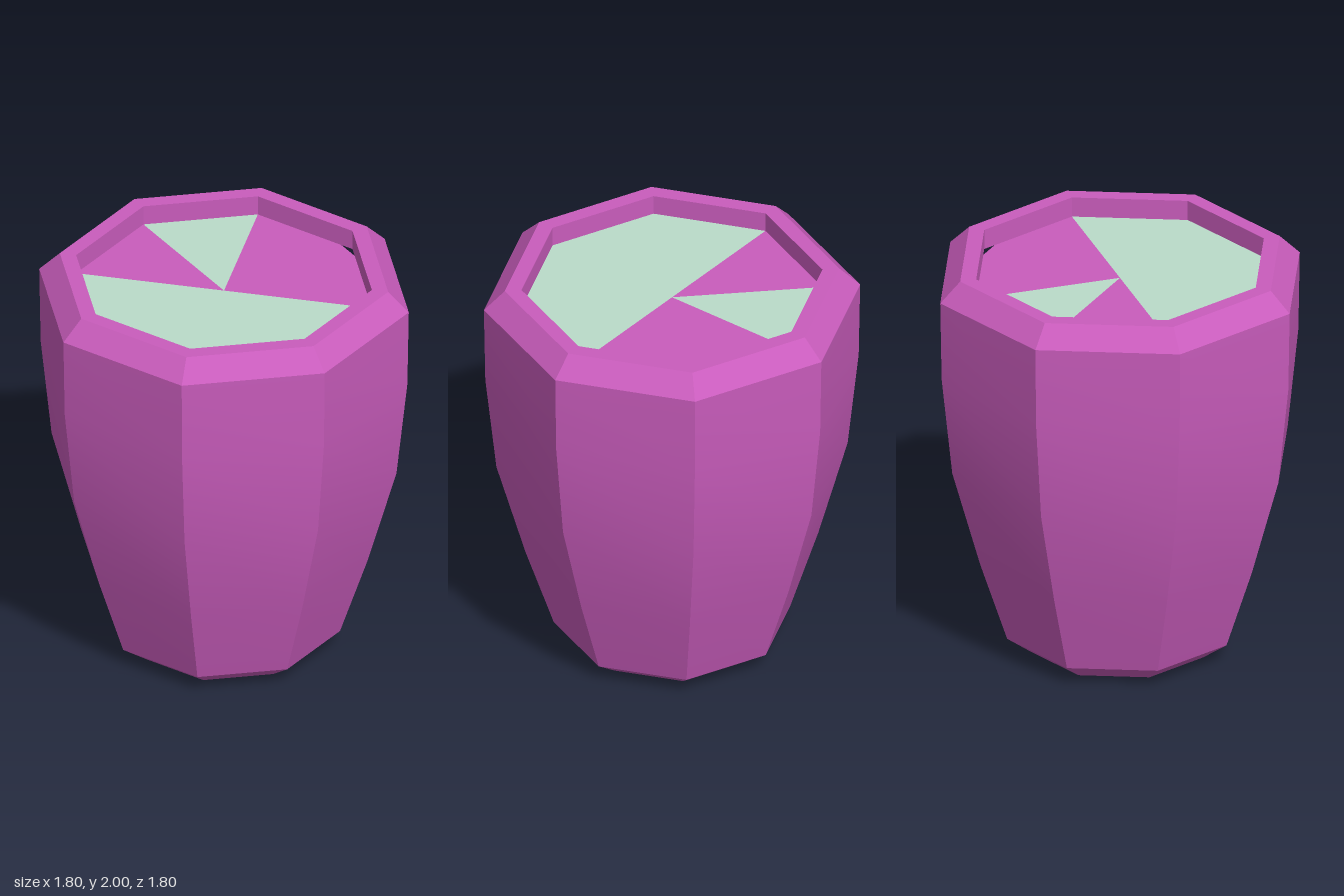
import * as THREE from 'three';
import { toCreasedNormals } from 'three/addons/utils/BufferGeometryUtils.js';

const SIDES = 8;
const STEP = (Math.PI * 2) / SIDES;

export function createModel() {
  const group = new THREE.Group();
  group.name = 'planter';
  const purple = new THREE.MeshStandardMaterial({ color: 0xc95cbc });
  const green = new THREE.MeshStandardMaterial({ color: 0xbadcc9 });

  const add = (name, geometry, material) => {
    const mesh = new THREE.Mesh(geometry, material);
    mesh.name = name;
    group.add(mesh);
    return mesh;
  };

  // Octagonal pot wall: foot bevel, swelling side, rim bevel, lip and inner wall
  const profile = [
    [0.44, 0], [0.565, 0.09], [0.7, 0.5], [0.84, 1], [0.893, 1.5],
    [0.9, 1.9], [0.8, 2], [0.72, 2], [0.72, 1.9],
  ].map(([r, y]) => new THREE.Vector2(r, y));
  add('potBody', toCreasedNormals(new THREE.LatheGeometry(profile, SIDES), Math.PI / 6), purple);

  // Underside
  add('base', new THREE.CircleGeometry(0.44, SIDES).rotateX(Math.PI / 2), purple);

  // Sunken top, divided into wedges: [first octant, octant count, material]
  const wedges = [[0, 2, purple], [2, 1, green], [3, 1, purple], [4, 4, green]];
  wedges.forEach(([first, count, material], i) => {
    const wedge = new THREE.CircleGeometry(0.72, count, first * STEP, count * STEP);
    add(`topWedge${i + 1}`, wedge.rotateX(-Math.PI / 2), material).position.y = 1.9;
  });

  return group;
}
